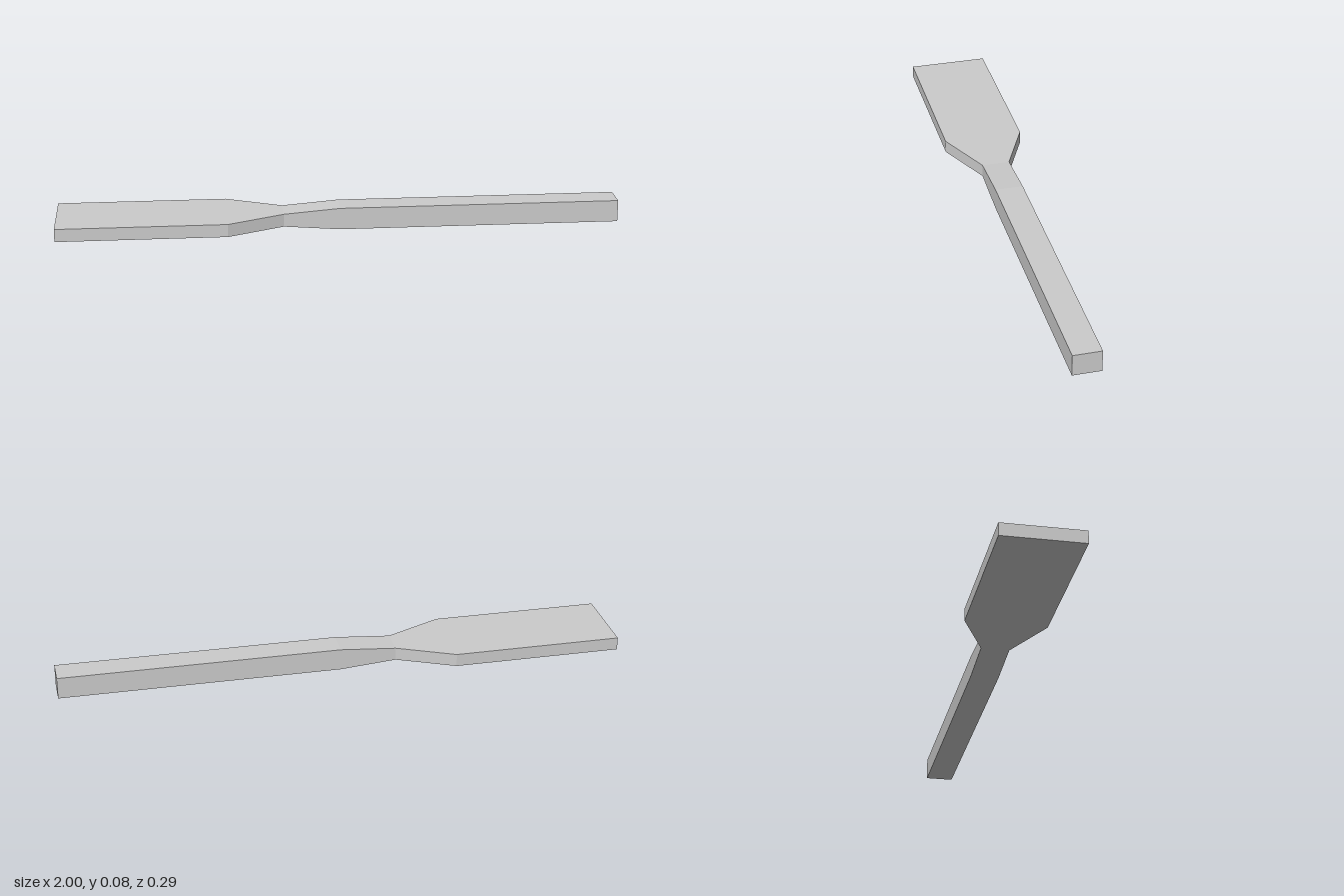
import * as THREE from 'three';

// Cross-sections along the length: x, half height, half depth
const SECTIONS = [
  [-1.0, 0.023, 0.143], // blade end
  [-0.4, 0.023, 0.143], // blade shoulder
  [-0.2, 0.023, 0.05],  // neck
  [0.0, 0.039, 0.05],   // start of handle
  [1.0, 0.039, 0.05],   // handle end
];
const MID_HEIGHT = 0.039;

export function createModel() {
  const group = new THREE.Group();
  group.name = 'paddle';

  // A segmented bar whose rings are moved and scaled to the cross-sections
  const last = SECTIONS.length - 1;
  const geometry = new THREE.BoxGeometry(last, 2, 2, last, 1, 1);
  const pos = geometry.attributes.position;
  for (let i = 0; i < pos.count; i++) {
    const [x, halfHeight, halfDepth] = SECTIONS[Math.round(pos.getX(i) + last / 2)];
    pos.setXYZ(i, x, MID_HEIGHT + pos.getY(i) * halfHeight, pos.getZ(i) * halfDepth);
  }
  const flat = geometry.toNonIndexed();
  flat.computeVertexNormals();

  const body = new THREE.Mesh(
    flat,
    new THREE.MeshStandardMaterial({ color: 0xcccccc, flatShading: true })
  );
  body.name = 'bladeAndHandle';
  group.add(body);
  return group;
}
